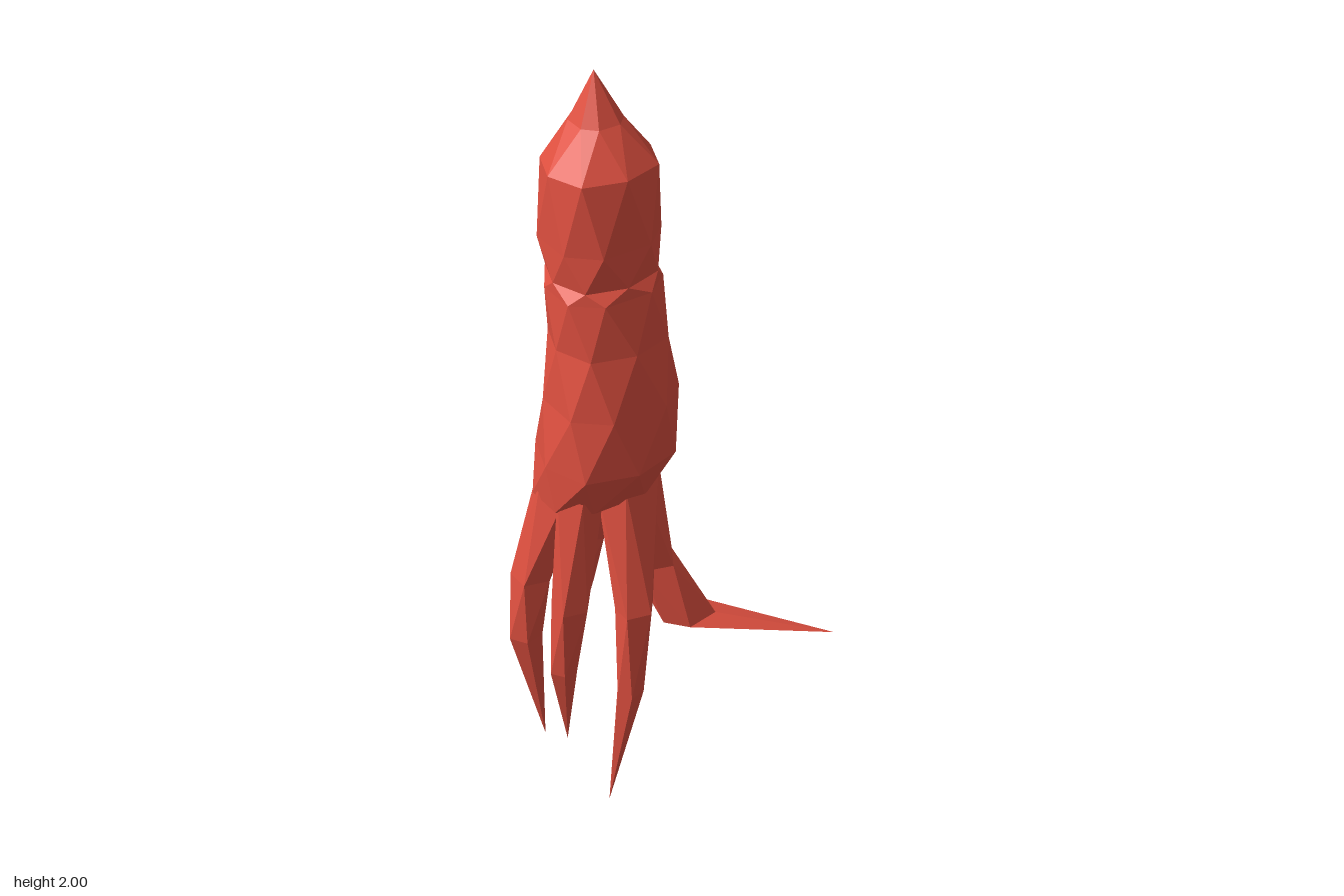
import * as THREE from 'three';

const mat = (color) => new THREE.MeshStandardMaterial({ color, flatShading: true });
// Rounded-square version of a sine or cosine
const square = (v) => Math.sign(v) * Math.abs(v) ** 0.82;

// Skin over stacked rings, listed from bottom to top:
// [y, xMin, xMax, zMin, zMax, scale of the back corner on the +x side].
// Each ring is turned half a step against the one below, giving a faceted look.
function loft(rings, sides) {
  const step = (Math.PI * 2) / sides;
  const loops = rings.map(([y, x0, x1, z0, z1, corner = 1], i) => {
    const pts = [];
    const grow = i % 2 && sides % 4 === 0 ? 1 / square(Math.cos(step / 2)) : 1;
    for (let j = 0; j < sides; j++) {
      const a = (j + i / 2) * step;
      const push = grow * (1 + (corner - 1) * Math.max(0, Math.cos(a + Math.PI / 4)) ** 4);
      pts.push(new THREE.Vector3(
        (x0 + x1) / 2 + ((x1 - x0) / 2) * square(Math.cos(a)) * push, y,
        (z0 + z1) / 2 + ((z1 - z0) / 2) * square(Math.sin(a)) * push));
    }
    return pts;
  });
  const out = [];
  const tri = (a, b, c) => {
    if (new THREE.Triangle(a, b, c).getArea() > 1e-8) out.push(a, b, c);
  };
  for (let i = 0; i + 1 < loops.length; i++) {
    for (let j = 0; j < sides; j++) {
      const k = (j + 1) % sides, p = loops[i], r = loops[i + 1];
      tri(p[j], r[j], p[k]);
      tri(r[j], r[k], p[k]);
    }
  }
  const g = new THREE.BufferGeometry().setFromPoints(out);
  g.computeVertexNormals();
  return g;
}

// Tentacle from tip to base; each row is [x, y, z, halfWidthX, halfWidthZ]
const tentacle = (rows) =>
  loft(rows.map(([x, y, z, rx, rz]) => [y, x - rx, x + rx, z - rz, z + rz]), 5);

export function createModel() {
  const group = new THREE.Group();
  const red = mat(0xe05040), yellow = mat(0xc8a850), black = mat(0x080808);
  const add = (name, geometry, material, x = 0, y = 0, z = 0) => {
    const mesh = new THREE.Mesh(geometry, material);
    mesh.name = name;
    mesh.position.set(x, y, z);
    group.add(mesh);
    return mesh;
  };

  // Mantle and head, hollowed at the back around the eye
  add('body', loft([
    [0.89, -0.16, -0.16, -0.06, -0.06],
    [0.9, -0.31, -0.015, -0.17, 0.045],
    [1.02, -0.32, 0.018, -0.185, 0.115, 1.25],
    [1.18, -0.292, 0.01, -0.15, 0.105, 1.08],
    [1.34, -0.285, 0, -0.155, 0.095, 0.85],
    [1.48, -0.278, -0.018, -0.142, 0.07, 0.88],
    [1.51, -0.278, -0.015, -0.165, 0.067, 1.06],
    [1.6, -0.276, -0.012, -0.18, 0.06, 1.03],
    [1.78, -0.277, -0.003, -0.18, 0.057, 1.03],
    [1.88, -0.195, -0.08, -0.135, -0.02],
    [2, -0.14, -0.14, -0.08, -0.08],
  ], 8), red);

  // Five tentacles hanging from the rim of the head
  const tentacles = {
    outstretchedTentacle: [
      [0.38, 0.38, 0.2, 0, 0], [0.045, 0.475, 0.03, 0.072, 0.055],
      [-0.022, 0.64, -0.035, 0.062, 0.068], [-0.07, 0.94, -0.06, 0.06, 0.09]],
    frontTentacle: [
      [-0.21, 0, 0.055, 0, 0], [-0.168, 0.36, 0.088, 0.034, 0.034],
      [-0.15, 0.61, 0.092, 0.05, 0.042], [-0.115, 0.94, 0.0, 0.085, 0.05]],
    sideBackTentacle: [
      [-0.285, 0.125, -0.13, 0, 0], [-0.343, 0.48, -0.12, 0.042, 0.043],
      [-0.32, 0.66, -0.11, 0.052, 0.05], [-0.245, 0.94, -0.085, 0.062, 0.07]],
    sideFrontTentacle: [
      [-0.27, 0.16, -0.045, 0, 0], [-0.3, 0.42, -0.01, 0.035, 0.032],
      [-0.282, 0.62, 0.01, 0.05, 0.042], [-0.245, 0.94, -0.01, 0.058, 0.06]],
    backTentacle: [
      [-0.21, 0.235, -0.16, 0, 0], [-0.155, 0.55, -0.165, 0.04, 0.035],
      [-0.13, 0.68, -0.155, 0.055, 0.04], [-0.13, 0.94, -0.115, 0.08, 0.055]],
  };
  for (const [name, rows] of Object.entries(tentacles)) add(name, tentacle(rows), red);

  // Eye in its lids at the back of the head
  const ball = new THREE.SphereGeometry(1, 8, 6);
  add('eye', ball, yellow, -0.118, 1.29, -0.142).scale.set(0.063, 0.053, 0.043);
  add('pupil', ball, black, -0.12, 1.29, -0.172).scale.set(0.028, 0.032, 0.022);
  add('eyelids', new THREE.TorusGeometry(0.06, 0.015, 4, 6), red, -0.12, 1.29, -0.142)
    .scale.set(1.1, 0.92, 1);

  return group;
}
